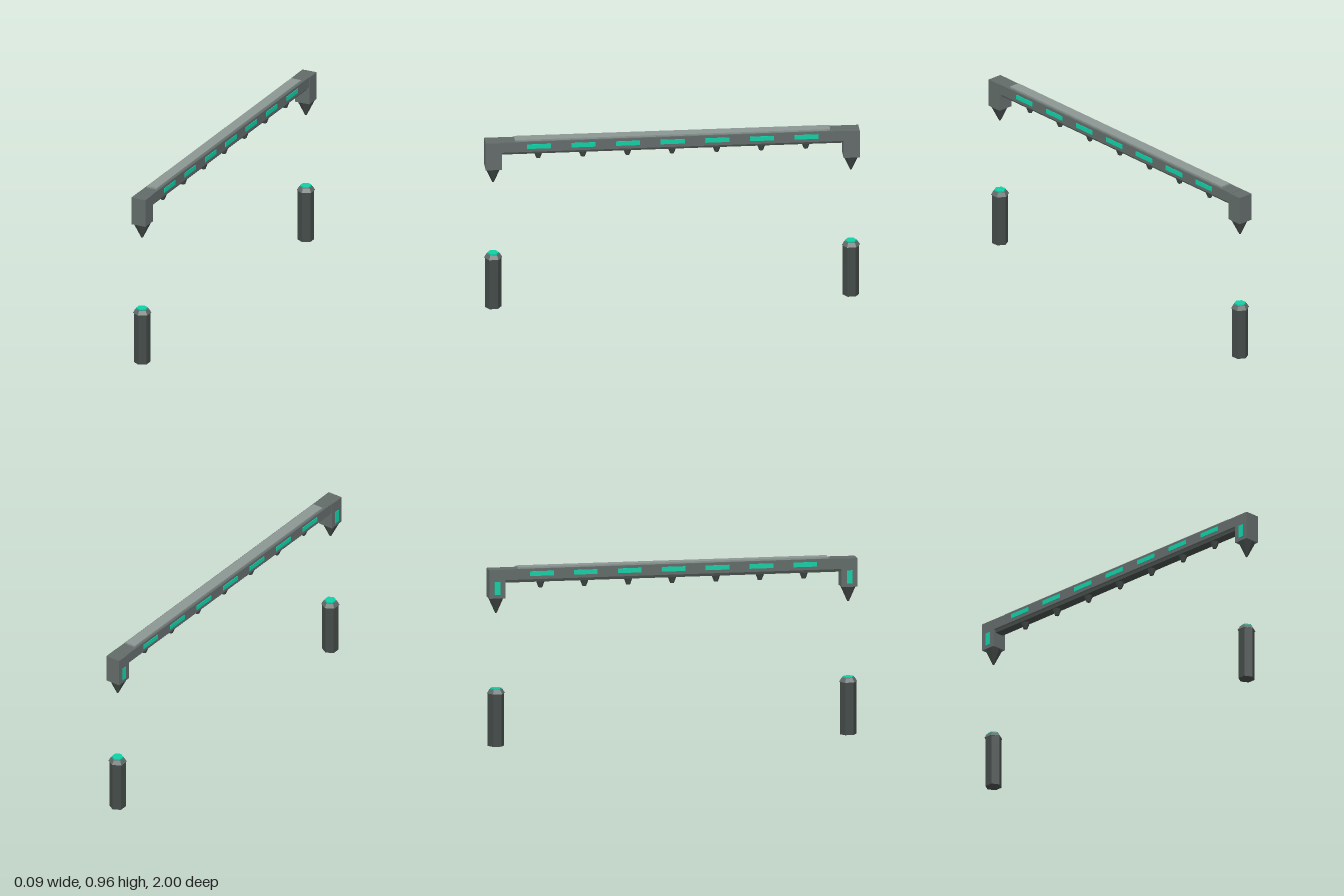
import * as THREE from 'three';

const mat = (color) => new THREE.MeshStandardMaterial({ color, flatShading: true });

export function createModel() {
  const model = new THREE.Group();
  const body = mat(0x626b69);
  const dark = mat(0x434b48);
  const plate = mat(0x8b9693);
  const glow = mat(0x10cfa6);

  const add = (name, geometry, material, x, y, z) => {
    const mesh = new THREE.Mesh(geometry, material);
    mesh.name = name;
    mesh.position.set(x, y, z);
    model.add(mesh);
    return mesh;
  };
  // box given by its size, bottom height and centre
  const box = (name, material, w, h, d, x, y0, z) =>
    add(name, new THREE.BoxGeometry(w, h, d), material, x, y0 + h / 2, z);
  // six-sided prism or frustum between two heights, corners on the z axis
  const hex = (name, material, rTop, rBottom, y0, y1, z) =>
    add(name, new THREE.CylinderGeometry(rTop, rBottom, y1 - y0, 6), material, 0, (y0 + y1) / 2, z);

  // long overhead beam with a top plate and a narrower rail beneath
  box('beam', body, 0.08, 0.057, 1.84, 0, 0.893, 0);
  box('topPlate', plate, 0.06, 0.012, 1.676, 0, 0.947, 0);
  box('lowerRail', dark, 0.052, 0.018, 1.84, 0, 0.877, 0);

  // side lights and the small nozzles below them
  for (let i = -3; i <= 3; i++) {
    const z = i * 0.237;
    for (const side of [-1, 1]) {
      box('sideLight', glow, 0.006, 0.025, 0.128, side * 0.0405, 0.911, z);
    }
    hex('nozzle', dark, 0.024, 0.011, 0.843, 0.878, z);
  }

  for (const end of [-1, 1]) {
    const z = end * 0.951;
    // end block with its downward spike and a light on the right face
    box('endBlock', body, 0.084, 0.153, 0.086, 0, 0.796, z);
    hex('spike', dark, 0.0485, 0.005, 0.713, 0.797, z).scale.z = 0.88;
    box('endLight', glow, 0.006, 0.07, 0.03, -0.042, 0.815, z);

    // separate ground post with a bevelled cap and a lit top
    hex('post', dark, 0.044, 0.044, 0, 0.282, z);
    hex('postCap', body, 0.036, 0.049, 0.282, 0.304, z);
    hex('postLight', glow, 0.031, 0.031, 0.3, 0.311, z);
  }
  return model;
}
